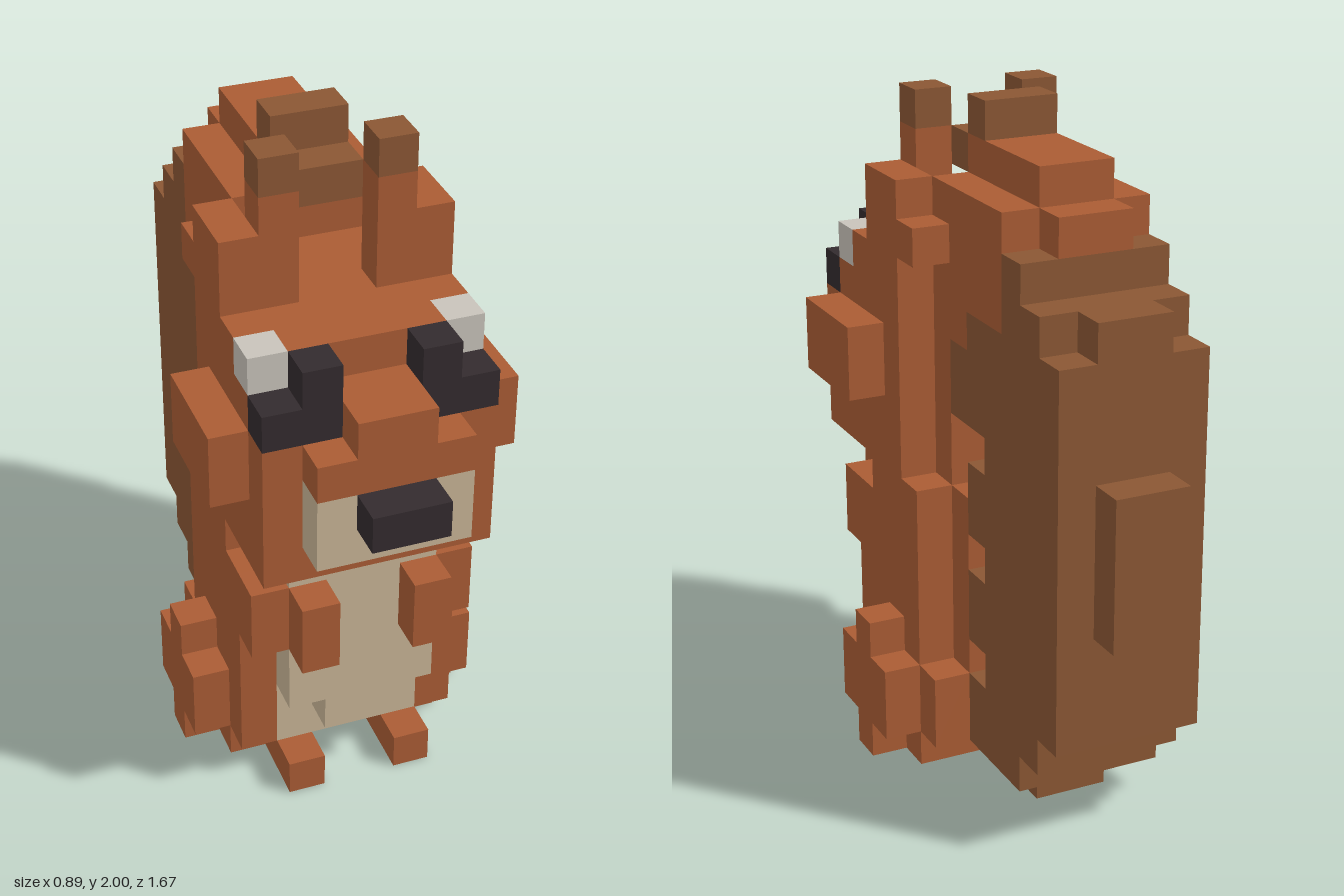
import * as THREE from 'three';

const U = 1 / 9;   // size of one block
const Z0 = 7.5;    // block depth index that lies on z = 0

export function createModel() {
  const root = new THREE.Group();
  root.name = 'squirrel';
  const mat = (name, color) => {
    const m = new THREE.MeshStandardMaterial({ color });
    m.name = name;
    return m;
  };
  const orange = mat('orange fur', 0xaa5c34);
  const brown = mat('brown fur', 0x8b5734);
  const cream = mat('cream fur', 0xc8b496);
  const dark = mat('dark eye and nose', 0x332b2e);
  const white = mat('eye white', 0xc8c3ba);

  const group = (name) => {
    const g = new THREE.Group();
    g.name = name;
    root.add(g);
    return g;
  };
  // Box from block ranges: x, y and depth (0 = back, 15 = front)
  const box = (g, name, m, x0, x1, y0, y1, k0, k1) => {
    const geo = new THREE.BoxGeometry((x1 - x0) * U, (y1 - y0) * U, (k1 - k0) * U);
    const mesh = new THREE.Mesh(geo, m);
    mesh.name = name;
    mesh.position.set((x0 + x1) / 2 * U, (y0 + y1) / 2 * U, ((k0 + k1) / 2 - Z0) * U);
    g.add(mesh);
  };
  // Box centred on x = 0
  const mid = (g, name, m, hx, ...r) => box(g, name, m, -hx, hx, ...r);
  // Box on both sides
  const pair = (g, name, m, x0, x1, ...r) => {
    box(g, name + 'Left', m, x0, x1, ...r);
    box(g, name + 'Right', m, -x1, -x0, ...r);
  };

  // Body and belly
  const body = group('body');
  mid(body, 'torso', orange, 2, 1, 8, 6, 10);
  pair(body, 'flank', orange, 2, 3, 1, 7, 7, 11);
  pair(body, 'shoulder', orange, 2, 3, 7, 8, 7, 10);
  pair(body, 'hip', orange, 2, 3, 1, 3, 6, 7);
  mid(body, 'lowerBelly', cream, 2, 1, 3, 10, 11);
  mid(body, 'bellyFront', cream, 1, 2, 3, 11, 12);
  mid(body, 'belly', cream, 2, 3, 8, 10, 12);

  // Arms
  const arms = group('arms');
  pair(arms, 'arm', orange, 1, 2, 5, 7, 12, 13);
  pair(arms, 'upperArm', orange, 2, 3, 5, 7, 11, 12);

  // Legs and feet
  const legs = group('legs');
  pair(legs, 'foot', orange, 1, 2, 0, 1, 7, 12);
  pair(legs, 'footSide', orange, 2, 3, 0, 1, 7, 10);
  pair(legs, 'heel', orange, 3, 4, 0, 1, 8, 9);
  pair(legs, 'thigh', orange, 3, 4, 1, 3, 7, 10);
  pair(legs, 'knee', orange, 3, 4, 3, 4, 8, 9);

  // Head
  const head = group('head');
  mid(head, 'skull', orange, 3, 8, 13, 8, 12);
  mid(head, 'crown', orange, 2, 13, 14, 7, 12);
  pair(head, 'crownSide', orange, 2, 3, 13, 14, 8, 11);
  mid(head, 'skullBack', orange, 2, 8, 13, 7, 8);
  mid(head, 'face', orange, 3, 8, 12, 12, 13);
  mid(head, 'bridge', orange, 1, 12, 13, 12, 14);
  mid(head, 'snout', orange, 2, 11, 12, 13, 14);
  mid(head, 'muzzle', cream, 2, 9, 11, 13, 14);
  mid(head, 'nose', dark, 1, 10, 11, 14, 15);
  pair(head, 'cheek', orange, 3, 4, 10, 12, 9, 12);
  pair(head, 'eyeLower', dark, 1, 3, 12, 13, 12, 13);
  pair(head, 'eyeUpper', dark, 1, 2, 13, 14, 12, 13);
  pair(head, 'eyeWhite', white, 2, 3, 13, 14, 11, 12);

  // Ears
  const ears = group('ears');
  pair(ears, 'ear', orange, 1, 2, 14, 17, 9, 10);
  pair(ears, 'earTip', brown, 1, 2, 17, 18, 9, 10);
  pair(ears, 'earSide', orange, 2, 3, 15, 16, 8, 10);
  pair(ears, 'earBase', orange, 2, 3, 14, 15, 7, 10);

  // Tail, stepping backwards as it rises
  const tail = group('tail');
  mid(tail, 'tailBase', brown, 1, 0, 1, 4, 7);
  mid(tail, 'tailStepLow', brown, 2, 1, 2, 3, 6);
  mid(tail, 'tailStepHigh', brown, 2, 2, 3, 2, 6);
  mid(tail, 'tailMain', brown, 2, 3, 13, 2, 5);
  mid(tail, 'tailUpper', brown, 2, 13, 14, 2, 4);
  mid(tail, 'tailBack', brown, 2, 3, 13, 1, 2);
  mid(tail, 'tailBackTop', brown, 1, 13, 14, 1, 2);
  mid(tail, 'tailRidge', brown, 1, 6, 10, 0, 1);
  mid(tail, 'tailCore', brown, 1, 3, 13, 5, 6);
  for (const [y0, y1] of [[4, 6], [7, 9], [10, 13]]) {
    pair(tail, 'tailTuft', brown, 1, 2, y0, y1, 5, 6);
  }
  mid(tail, 'tailInner', brown, 2, 10, 12, 6, 7);
  mid(tail, 'tailShelf', brown, 2, 14, 15, 3, 4);

  // Curled orange end of the tail
  const curl = group('tailCurl');
  mid(curl, 'curlUnder', orange, 2, 12, 13, 6, 7);
  mid(curl, 'curlLower', orange, 2, 13, 15, 4, 7);
  mid(curl, 'curlUpper', orange, 2, 15, 16, 4, 8);
  mid(curl, 'curlTop', orange, 1, 16, 17, 4, 8);
  mid(curl, 'curlBack', orange, 1, 15, 16, 3, 4);
  mid(curl, 'curlTip', brown, 1, 16, 17, 8, 9);
  mid(curl, 'curlTipTop', brown, 1, 17, 18, 7, 8);

  return root;
}
